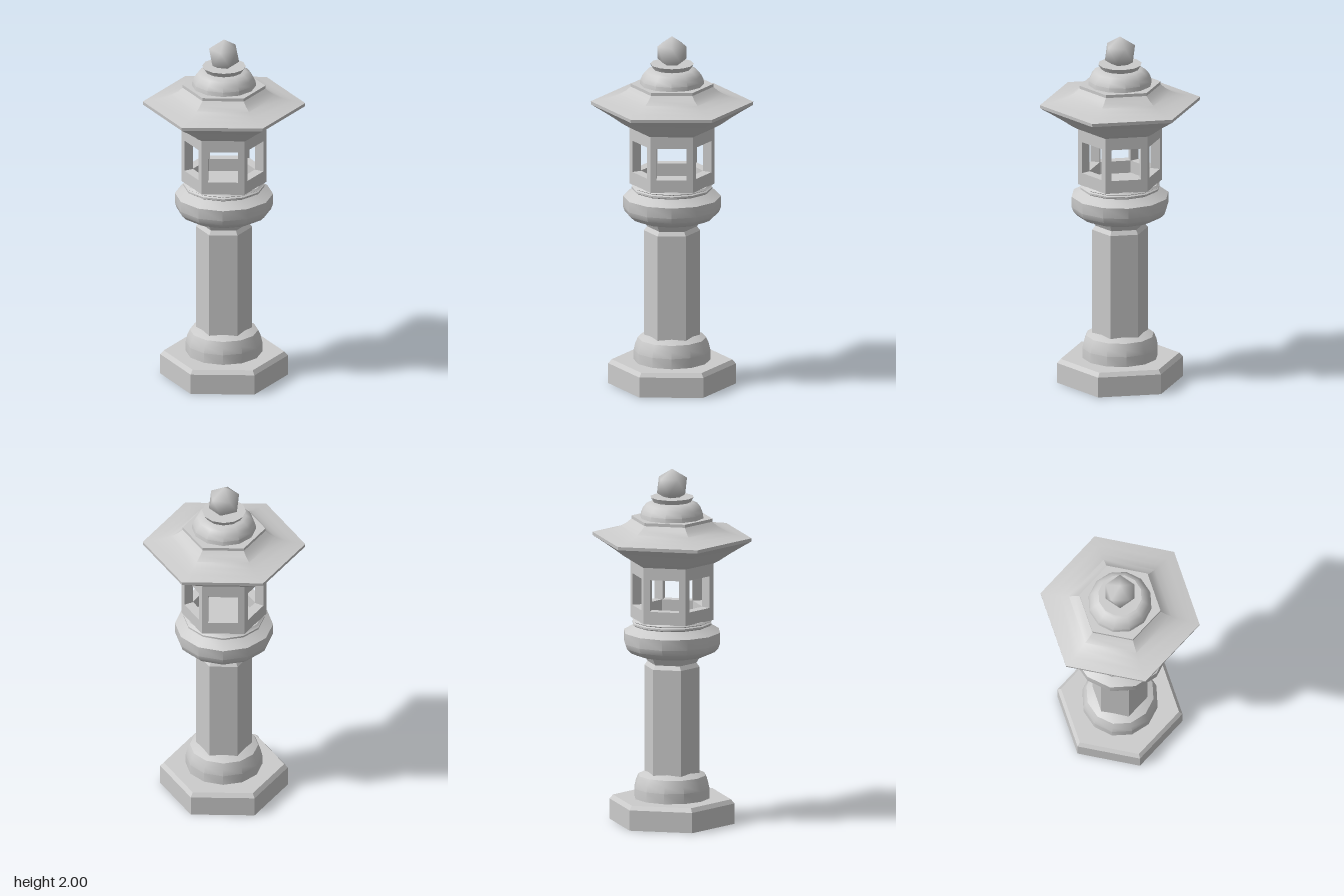
import * as THREE from 'three';
import { toCreasedNormals, mergeVertices } from 'three/addons/utils/BufferGeometryUtils.js';

const stone = new THREE.MeshStandardMaterial({ color: 0xcccccc });

// Turned stone part: profile of [radius, y] from bottom to top, with a corner on +z
function turned(name, sides, profile) {
  const points = profile.map(([r, y]) => new THREE.Vector2(r, y));
  const geometry = toCreasedNormals(new THREE.LatheGeometry(points, sides), THREE.MathUtils.degToRad(32));
  const mesh = new THREE.Mesh(geometry, stone);
  mesh.name = name;
  return mesh;
}

// One mitred wall of the hexagonal lamp chamber with a square window
function windowWall(radius, bottom, top, depth) {
  const half = radius / 2;
  const shape = new THREE.Shape();
  shape.moveTo(-half, bottom).lineTo(half, bottom).lineTo(half, top).lineTo(-half, top).closePath();
  const hole = new THREE.Path();
  hole.moveTo(-0.083, 1.225).lineTo(-0.083, 1.405).lineTo(0.083, 1.405).lineTo(0.083, 1.225).closePath();
  shape.holes.push(hole);
  const geometry = new THREE.ExtrudeGeometry(shape, { depth, bevelEnabled: false });
  geometry.translate(0, 0, -depth);
  // Pull in the back corners so that neighbouring walls meet in a mitre
  const p = geometry.attributes.position;
  for (let i = 0; i < p.count; i++) {
    const x = p.getX(i);
    if (p.getZ(i) < -depth / 2 && Math.abs(x) > half - 0.001) {
      p.setX(i, x - Math.sign(x) * depth * Math.tan(Math.PI / 6));
    }
  }
  geometry.computeVertexNormals();
  geometry.translate(0, 0, radius * Math.cos(Math.PI / 6));
  return geometry;
}

export function createModel() {
  const lantern = new THREE.Group();
  lantern.name = 'stoneLantern';

  // Foot and pillar
  lantern.add(
    turned('basePlinth', 6, [[0, 0], [0.355, 0], [0.355, 0.115], [0.335, 0.138], [0, 0.138]]),
    turned('baseDome', 12, [
      [0.213, 0.13], [0.213, 0.195], [0.204, 0.235], [0.19, 0.266], [0.157, 0.281], [0.12, 0.293], [0, 0.3],
    ]),
    turned('pillar', 6, [[0.157, 0.2], [0.157, 0.882], [0.139, 0.905], [0.168, 0.955]]),
  );

  // Bowl carrying the lamp chamber
  lantern.add(
    turned('bowl', 12, [
      [0, 0.948], [0.17, 0.948], [0.205, 0.952], [0.24, 0.968], [0.262, 0.99], [0.273, 1.02],
      [0.273, 1.08], [0.212, 1.115],
    ]),
    turned('bowlRing', 12, [
      [0.212, 1.115], [0.224, 1.122], [0.224, 1.132], [0.215, 1.138], [0.225, 1.144], [0.215, 1.154], [0, 1.154],
    ]),
  );

  // Lamp chamber of six window walls
  const chamber = new THREE.Group();
  chamber.name = 'lampChamber';
  const wall = windowWall(0.237, 1.152, 1.478, 0.055);
  for (let i = 0; i < 6; i++) {
    const mesh = new THREE.Mesh(wall, stone);
    mesh.name = 'windowWall';
    mesh.rotation.y = (i + 0.5) * Math.PI / 3;
    chamber.add(mesh);
  }
  lantern.add(chamber);

  // Sweeping roof with its raised rim
  lantern.add(
    turned('roof', 6, [
      [0, 1.474], [0.24, 1.474], [0.275, 1.494], [0.32, 1.525], [0.38, 1.563], [0.45, 1.605],
      [0.452, 1.624], [0.39, 1.635], [0.335, 1.648], [0.29, 1.666], [0.255, 1.687], [0.23, 1.709],
    ]),
    turned('roofRim', 6, [[0.23, 1.705], [0.23, 1.726], [0, 1.726]]),
    turned('roofDome', 12, [
      [0.179, 1.722], [0.176, 1.75], [0.165, 1.776], [0.147, 1.799], [0.125, 1.811], [0.1, 1.816], [0, 1.816],
    ]),
    turned('finialCollar', 12, [[0.104, 1.812], [0.122, 1.842], [0, 1.842]]),
  );

  // Faceted jewel standing on one corner
  let jewel = new THREE.IcosahedronGeometry(0.094, 0);
  jewel.deleteAttribute('uv');
  jewel.deleteAttribute('normal');
  jewel = mergeVertices(jewel);
  jewel.rotateX(-Math.atan2((1 + Math.sqrt(5)) / 2, 1));
  jewel.rotateY(Math.PI / 2);
  jewel.computeVertexNormals();
  const finial = new THREE.Mesh(jewel, stone);
  finial.name = 'finialJewel';
  finial.position.y = 1.906;
  lantern.add(finial);

  return lantern;
}
